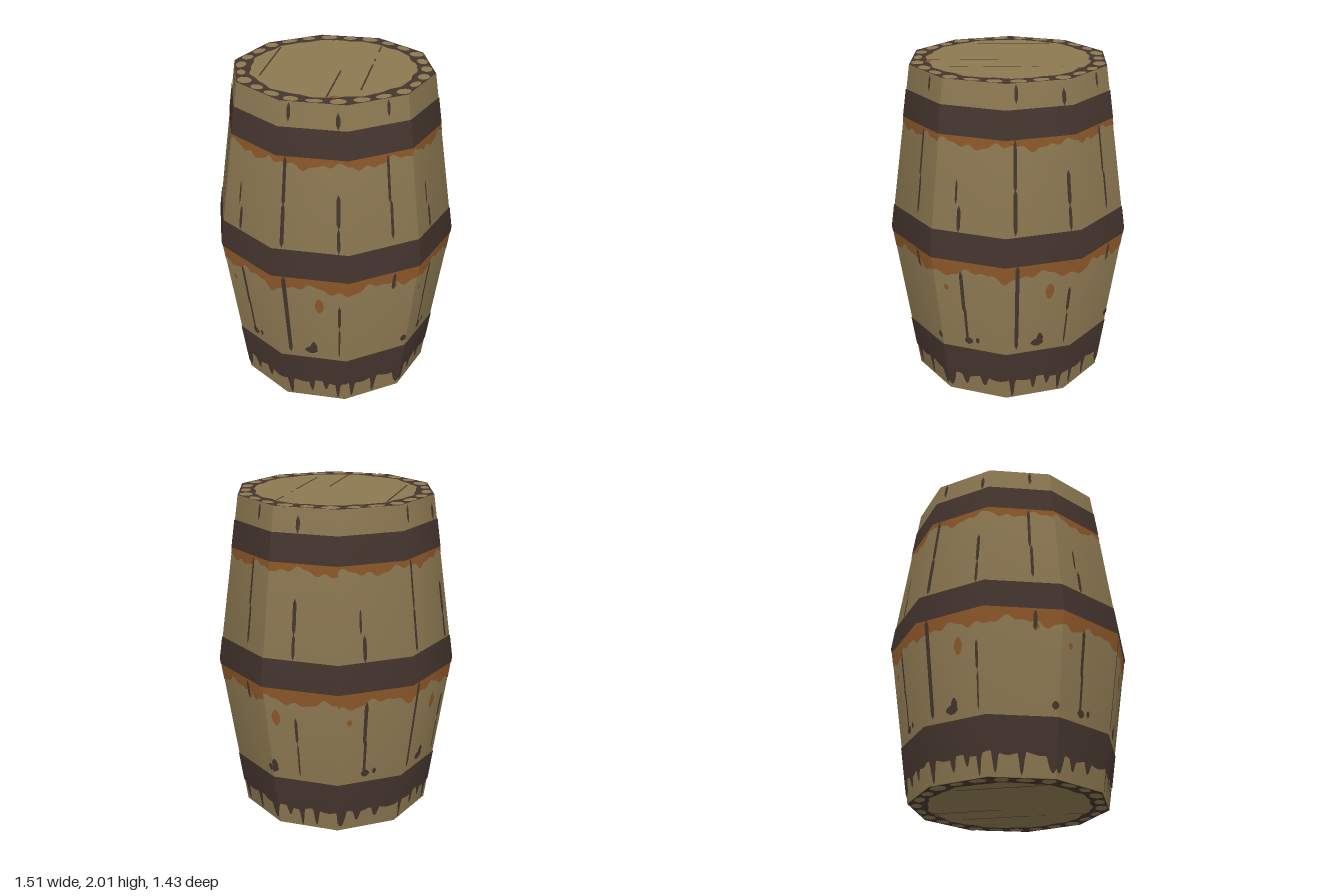
import * as THREE from 'three';

const SIDES = 10, END_R = 0.605, MID_R = 0.75;
const SEAMS = [0, 3, 6, 7, 10]; // hard vertical edges; staves between them are smooth

const material = (name, color) => {
  const m = new THREE.MeshStandardMaterial({ color });
  m.name = name;
  return m;
};

// azimuth of the corner at unrolled coordinate u (one unit per side)
const azimuth = (u) => THREE.MathUtils.degToRad(306 + 36 * u);
const radiusAt = (y) => MID_R - (MID_R - END_R) * Math.abs(y - 1);

// Strip lying on the barrel wall from u0 to u1, between two height curves
function wallStrip(u0, u1, low, high, lift, steps, out) {
  for (let p = Math.floor(u0); p < u1; p++) {
    const a = Math.max(u0, p), b = Math.min(u1, p + 1);
    if (b - a < 1e-4) continue;
    const n0 = azimuth(SEAMS.includes(p) ? p + 0.5 : p);
    const n1 = azimuth(SEAMS.includes(p + 1) ? p + 0.5 : p + 1);
    const base = out.pos.length / 3;
    for (let i = 0; i <= steps; i++) {
      const u = a + ((b - a) * i) / steps, t = u - p;
      const lo = low(u), hi = high(u);
      const mid = lo < 1 && hi > 1 ? 1 : (lo + hi) / 2;
      const az = n0 + (n1 - n0) * t;
      for (const y of [lo, mid, hi]) {
        const r = radiusAt(y) + lift;
        const x = (1 - t) * Math.sin(azimuth(p)) + t * Math.sin(azimuth(p + 1));
        const z = (1 - t) * Math.cos(azimuth(p)) + t * Math.cos(azimuth(p + 1));
        out.pos.push(x * r, y, z * r);
        const n = new THREE.Vector3(Math.sin(az), 0.145 * (y - 1), Math.cos(az)).normalize();
        out.nor.push(n.x, n.y, n.z);
      }
    }
    for (let i = 0; i < steps; i++) for (let j = 0; j < 2; j++) {
      const k = base + i * 3 + j;
      out.idx.push(k, k + 3, k + 4, k, k + 4, k + 1);
    }
  }
}

function wallMesh(name, mat, fill) {
  const out = { pos: [], nor: [], idx: [] };
  fill(out);
  const g = new THREE.BufferGeometry();
  g.setAttribute('position', new THREE.Float32BufferAttribute(out.pos, 3));
  g.setAttribute('normal', new THREE.Float32BufferAttribute(out.nor, 3));
  g.setIndex(out.idx);
  const mesh = new THREE.Mesh(g, mat);
  mesh.name = name;
  return mesh;
}

// The stave pattern repeats every three sides; the single back side shows part of it
const REPEATS = [[0, 0, 3], [3, 3, 6], [4.53, 6, 7], [7, 7, 10]];

function repeatStrip(u0, u1, low, high, lift, steps, out) {
  for (const [shift, min, max] of REPEATS) {
    const a = Math.max(u0 + shift, min), b = Math.min(u1 + shift, max);
    if (b > a) wallStrip(a, b, (u) => low(u - shift), (u) => high(u - shift), lift, steps, out);
  }
}

// Spindle-shaped mark with pointed ends
function mark([u, y0, y1, w], taper, lift, steps, out) {
  const cut = (v) => taper * Math.min(1, (2 * Math.abs(v - u)) / w) ** 2;
  repeatStrip(u - w / 2, u + w / 2, (v) => y0 + cut(v), (v) => y1 - cut(v), lift, steps, out);
}

// [u, bottom, top, width]
const CRACKS = [
  [1.15, 1.89, 2, 0.05], [1.13, 1.4, 1.7, 0.045], [1.13, 1.15, 1.42, 0.05], [1.155, 0.37, 0.97, 0.055],
  [1.87, 1.86, 1.96, 0.06], [1.87, 1.29, 1.5, 0.05], [1.87, 1.14, 1.3, 0.04], [1.885, 0.6, 0.78, 0.04], [1.89, 0.37, 0.6, 0.025],
  [0.31, 1.3, 1.45, 0.03], [0.36, 1.14, 1.3, 0.05], [0.385, 0.6, 0.9, 0.05], [0.4, 0.37, 0.65, 0.04],
  [2.61, 1.4, 1.69, 0.04], [2.63, 1.18, 1.42, 0.04], [2.65, 0.83, 0.96, 0.05], [2.66, 1.9, 2, 0.05],
];
const KNOTS = [[1.47, 0.375, 0.43, 0.19], [1.51, 0.39, 0.47, 0.1], [0.42, 0.375, 0.425, 0.13], [0.56, 0.39, 0.43, 0.06], [2.95, 0.38, 0.43, 0.1]];
const RUST_SPOTS = [[1.61, 0.71, 0.82, 0.12], [0.16, 0.75, 0.79, 0.07], [2.66, 0.84, 0.88, 0.09]];

// Stain drips below the bottom hoop: [u, lowest height, half width]
const DRIPS = [[0.05, 0.03, 0.1], [0.32, 0.06, 0.06], [0.63, 0.07, 0.07], [1.1, 0.005, 0.05], [1.45, 0.05, 0.05],
  [1.68, 0.07, 0.05], [1.88, 0.005, 0.04], [2.12, 0.02, 0.05], [2.5, 0.01, 0.05], [2.95, 0.03, 0.1]];
const hoopStain = (u) => {
  let y = 0.13 + 0.01 * Math.sin(u * 13);
  for (const [c, bottom, w] of DRIPS) {
    const d = Math.abs(u - c) / w;
    if (d < 1) y = Math.min(y, bottom + (y - bottom) * d * d);
  }
  return y;
};
const ragged = (u) => Math.sin(u * 7 + 1) + 0.6 * Math.sin(u * 17) + 0.4 * Math.sin(u * 31);

// Dark worn rim of a lid, with light worn patches left open
function rimShape() {
  const rim = new THREE.Shape();
  for (let i = 0; i < SIDES; i++) {
    const a = (i * Math.PI * 2) / SIDES;
    rim[i ? 'lineTo' : 'moveTo'](END_R * Math.cos(a), END_R * Math.sin(a));
  }
  const inner = [];
  for (let i = 0; i < 96; i++) {
    const a = (i * Math.PI * 2) / 96, r = 0.488 + 0.007 * Math.sin(a * 11) + 0.005 * Math.sin(a * 23 + 1);
    inner.push(new THREE.Vector2(r * Math.cos(a), r * Math.sin(a)));
  }
  rim.holes.push(new THREE.Path(inner));
  const count = 26;
  for (let i = 0; i < count; i++) {
    const a = ((i + 0.5) * Math.PI * 2) / count;
    const off = (((a + Math.PI / 10) % (Math.PI / 5)) - Math.PI / 10);
    const edge = (END_R * Math.cos(Math.PI / 10)) / Math.cos(Math.PI / 10 - Math.abs(off));
    const r0 = 0.514 + 0.006 * Math.sin(i * 5), r1 = edge - 0.008;
    const c = (r0 + r1) / 2, half = 0.047 + 0.006 * Math.sin(i * 3);
    const patch = new THREE.Path();
    patch.absellipse(c * Math.cos(a), c * Math.sin(a), (r1 - r0) / 2, half, 0, Math.PI * 2, false, a);
    rim.holes.push(new THREE.Path(patch.getPoints(14)));
  }
  return rim;
}

function buildLid(name, wood, iron, rust) {
  const lid = new THREE.Group();
  lid.name = name;
  const add = (part, geo, mat, x = 0, z = 0, lift = 0.002) => {
    const m = new THREE.Mesh(geo.rotateX(-Math.PI / 2), mat);
    m.position.set(x, lift, z);
    m.name = part;
    lid.add(m);
  };
  add('lidBoard', new THREE.CircleGeometry(END_R, SIDES), wood, 0, 0, 0);
  add('lidRim', new THREE.ShapeGeometry(rimShape()), iron);
  // board joints: [x, z start, z end]
  for (const [x, z0, z1] of [[-0.39, -0.29, 0.23], [0.055, 0.06, 0.48], [0.222, -0.42, -0.31], [0.222, -0.18, -0.14], [0.222, -0.08, 0.34]])
    add('boardJoint', new THREE.PlaneGeometry(0.01, z1 - z0), iron, x, (z0 + z1) / 2);
  add('lidRust', new THREE.CircleGeometry(0.03, 10).scale(1, 0.55, 1), rust, 0.1, 0.47, 0.003);
  return lid;
}

export function createModel() {
  const wood = material('wood', 0x8c7851);
  const iron = material('dark iron', 0x45352e);
  const rust = material('rust', 0x8a5628);
  const barrel = new THREE.Group();
  barrel.name = 'barrel';
  const flat = (y) => () => y;

  // Staves
  barrel.add(wallMesh('staves', wood, (o) => wallStrip(0, SIDES, flat(0), flat(2), 0, 4, o)));

  // Hoops
  barrel.add(wallMesh('topHoop', iron, (o) => wallStrip(0, SIDES, flat(1.695), flat(1.86), 0.004, 4, o)));
  barrel.add(wallMesh('middleHoop', iron, (o) => wallStrip(0, SIDES, flat(0.965), flat(1.142), 0.004, 4, o)));
  barrel.add(wallMesh('bottomHoop', iron, (o) => repeatStrip(0, 3, hoopStain, flat(0.34), 0.004, 48, o)));

  // Rust running from the hoops
  barrel.add(wallMesh('rustRuns', rust, (o) => {
    repeatStrip(0, 3, (u) => 1.65 + 0.017 * ragged(u), flat(1.697), 0.002, 30, o);
    repeatStrip(0, 3, (u) => 0.885 + 0.02 * ragged(u + 0.4), flat(0.967), 0.002, 30, o);
    for (const s of RUST_SPOTS) mark(s, (s[2] - s[1]) * 0.4, 0.002, 8, o);
  }));

  // Stave cracks and knots
  barrel.add(wallMesh('cracks', iron, (o) => {
    for (const c of CRACKS) mark(c, 0.03, 0.003, 2, o);
    for (const k of KNOTS) mark(k, (k[2] - k[1]) * 0.4, 0.003, 6, o);
  }));

  // Lids
  const top = buildLid('topLid', wood, iron, rust);
  top.position.y = 2;
  const bottom = buildLid('bottomLid', wood, iron, rust);
  bottom.rotation.x = Math.PI;
  barrel.add(top, bottom);
  return barrel;
}
